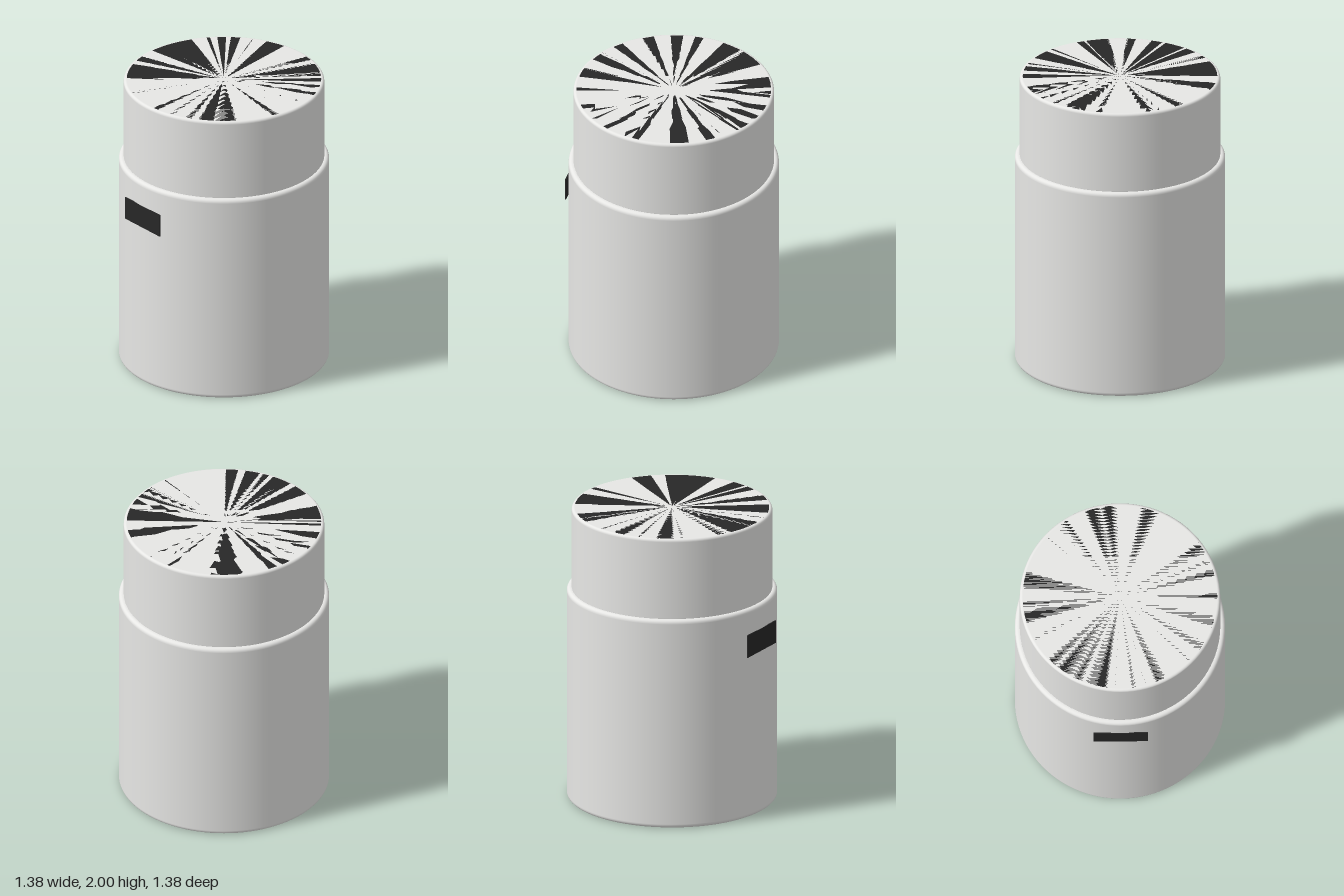
import * as THREE from 'three';

const metal = new THREE.MeshStandardMaterial({ color: 0xe7e7e5 });
metal.name = 'light grey';
const dark = new THREE.MeshStandardMaterial({ color: 0x272727 });
dark.name = 'charcoal';

// Upright cylinder with rounded rims, turned from a profile running bottom to top
function roundedCylinder(name, radius, y0, y1, bevel) {
  const points = [new THREE.Vector2(0, y0), new THREE.Vector2(radius - bevel * 1.1, y0)];
  const rim = (cy, from) => {
    for (let i = 0; i <= 6; i++) {
      const a = from + (i / 6) * Math.PI / 2;
      points.push(new THREE.Vector2(radius - bevel + bevel * Math.cos(a), cy + bevel * Math.sin(a)));
    }
  };
  rim(y0 + bevel, -Math.PI / 2);
  points.push(new THREE.Vector2(radius, y0 + bevel * 1.1), new THREE.Vector2(radius, y1 - bevel * 1.1));
  rim(y1 - bevel, 0);
  points.push(new THREE.Vector2(radius - bevel * 1.1, y1), new THREE.Vector2(0, y1));
  const mesh = new THREE.Mesh(new THREE.LatheGeometry(points, 96), metal);
  mesh.name = name;
  return mesh;
}

export function createModel() {
  const model = new THREE.Group();
  model.name = 'canister';

  // Wide body and the slightly narrower lid standing on it
  model.add(roundedCylinder('body', 0.692, 0, 1.447, 0.025));
  model.add(roundedCylinder('lid', 0.66, 1.43, 2, 0.018));

  // Dark disc set flush into the top of the lid
  const disc = new THREE.Mesh(new THREE.CircleGeometry(0.64, 64), dark);
  disc.name = 'lidDisc';
  disc.rotation.x = -Math.PI / 2;
  disc.position.y = 2;
  model.add(disc);

  // Flat dark label touching the front of the body
  const label = new THREE.Mesh(new THREE.BoxGeometry(0.358, 0.155, 0.008), dark);
  label.name = 'frontLabel';
  label.position.set(-0.001, 1.203, 0.689);
  model.add(label);

  return model;
}
